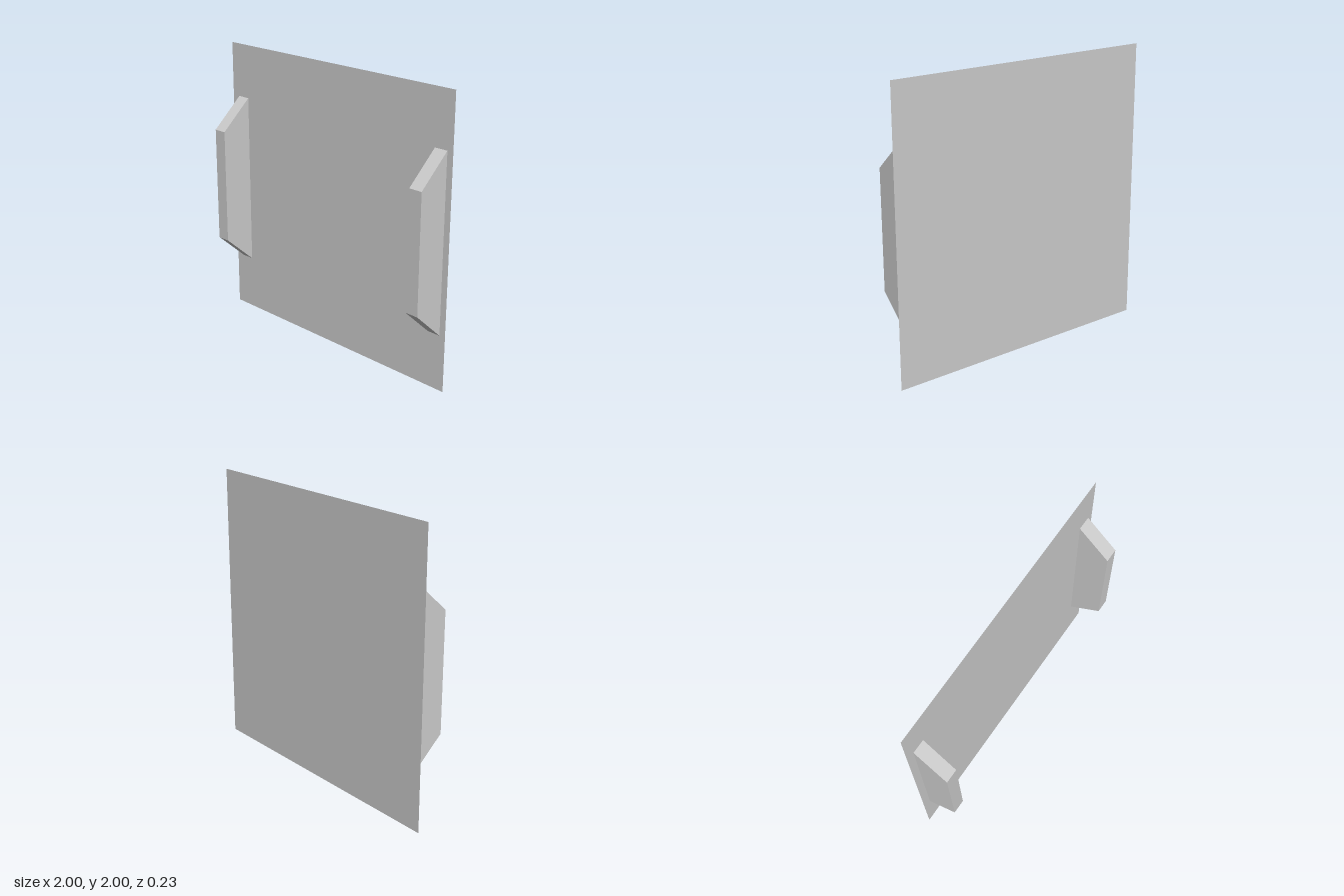
import * as THREE from 'three';

export function createModel() {
  const group = new THREE.Group();
  group.name = 'panelWithHandles';

  const grey = new THREE.MeshStandardMaterial({ color: 0xcccccc });
  grey.name = 'light grey';
  grey.side = THREE.DoubleSide;

  const backZ = -0.114, frontZ = 0.114;

  // Flat square panel, a single open sheet
  const panel = new THREE.Mesh(new THREE.PlaneGeometry(2, 2), grey);
  panel.name = 'panel';
  panel.position.set(0, 1, backZ);
  group.add(panel);

  // Side profile of a handle: x of the shape becomes z of the model
  const profile = new THREE.Shape([
    new THREE.Vector2(backZ, 0.39),
    new THREE.Vector2(frontZ, 0.597),
    new THREE.Vector2(frontZ, 1.415),
    new THREE.Vector2(backZ, 1.62),
  ]);
  const width = 0.096;
  const handleGeometry = new THREE.ExtrudeGeometry(profile, { depth: width, bevelEnabled: false });
  handleGeometry.translate(0, 0, -width / 2).rotateY(-Math.PI / 2);

  // One upright handle near each side edge
  for (const [name, x] of [['rightHandle', -0.892], ['leftHandle', 0.907]]) {
    const handle = new THREE.Mesh(handleGeometry, grey);
    handle.name = name;
    handle.position.x = x;
    group.add(handle);
  }

  return group;
}
